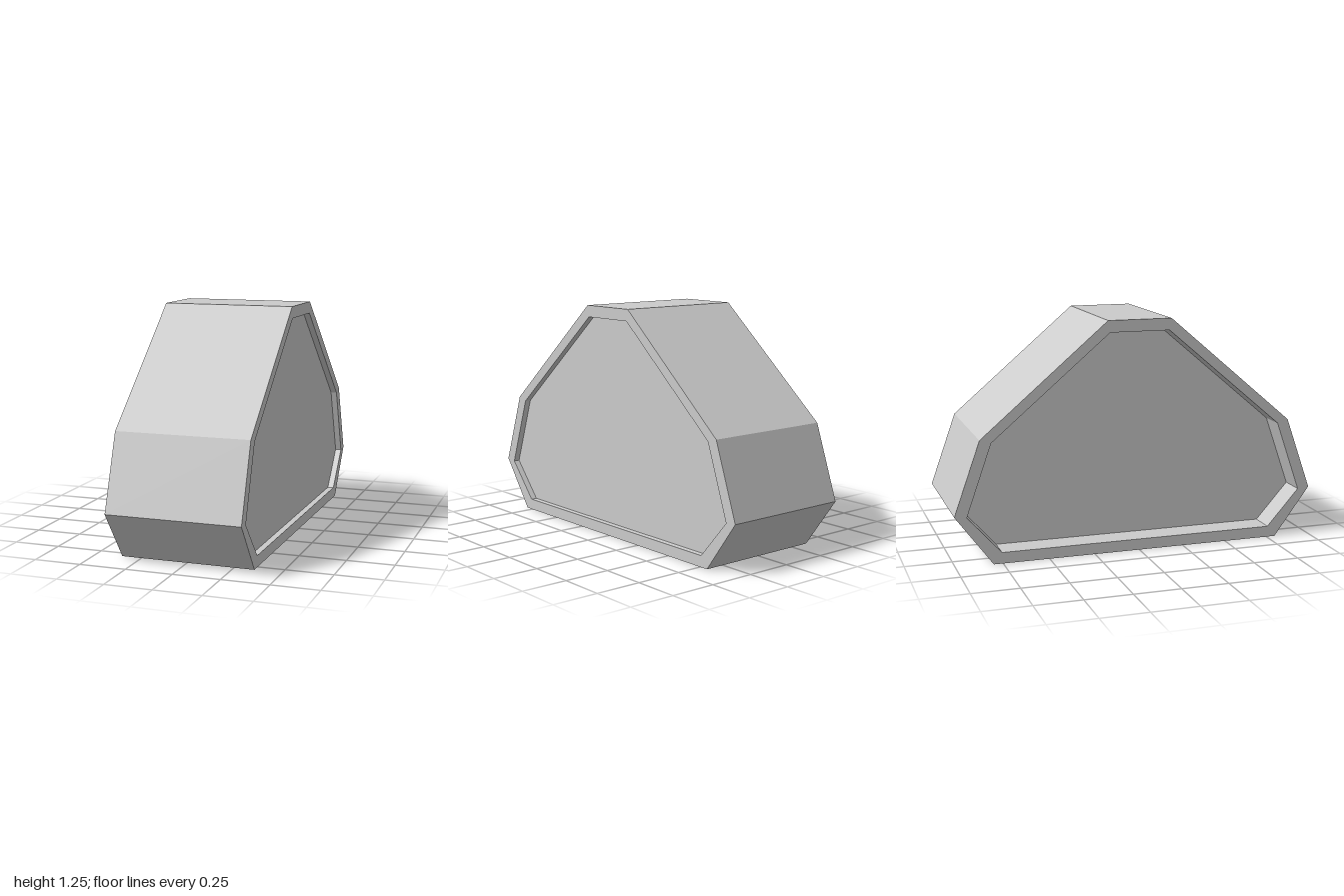
import * as THREE from 'three';

const HALF_WIDTH = 0.357;
const RIGHT_RECESS = 0.034; // shallow recess on +x
const LEFT_RECESS = 0.146;  // deep recess on -x

// Half profiles as [z, y], mirrored to the other side
const OUTER = [[0.8, 0], [1, 0.27], [0.86, 0.665], [0.174, 1.25]];
const INNER = [[0.755, 0.06], [0.935, 0.263], [0.8, 0.647], [0.163, 1.187]];

function mirrored(half) {
  const other = half.map(([z, y]) => [-z, y]).reverse();
  return [...half, ...other].map(([z, y]) => new THREE.Vector2(z, y));
}

// Extrudes a profile along x, from x0 to x1
function extrudeAlongX(shape, x0, x1) {
  const geometry = new THREE.ExtrudeGeometry(shape, { depth: x1 - x0, bevelEnabled: false });
  return geometry.rotateY(Math.PI / 2).translate(x0, 0, 0);
}

export function createModel() {
  const group = new THREE.Group();
  const material = new THREE.MeshStandardMaterial({ color: 0xcccccc, flatShading: true });

  const add = (name, geometry) => {
    const mesh = new THREE.Mesh(geometry, material);
    mesh.name = name;
    group.add(mesh);
  };

  // Eight-sided casing with an opening through it
  const casing = new THREE.Shape(mirrored(OUTER));
  casing.holes.push(new THREE.Path(mirrored(INNER)));
  add('casing', extrudeAlongX(casing, -HALF_WIDTH, HALF_WIDTH));

  // Core filling the opening, set back by a different depth on each side
  const core = new THREE.Shape(mirrored(INNER));
  add('recessedCore', extrudeAlongX(core, -HALF_WIDTH + LEFT_RECESS, HALF_WIDTH - RIGHT_RECESS));

  return group;
}
